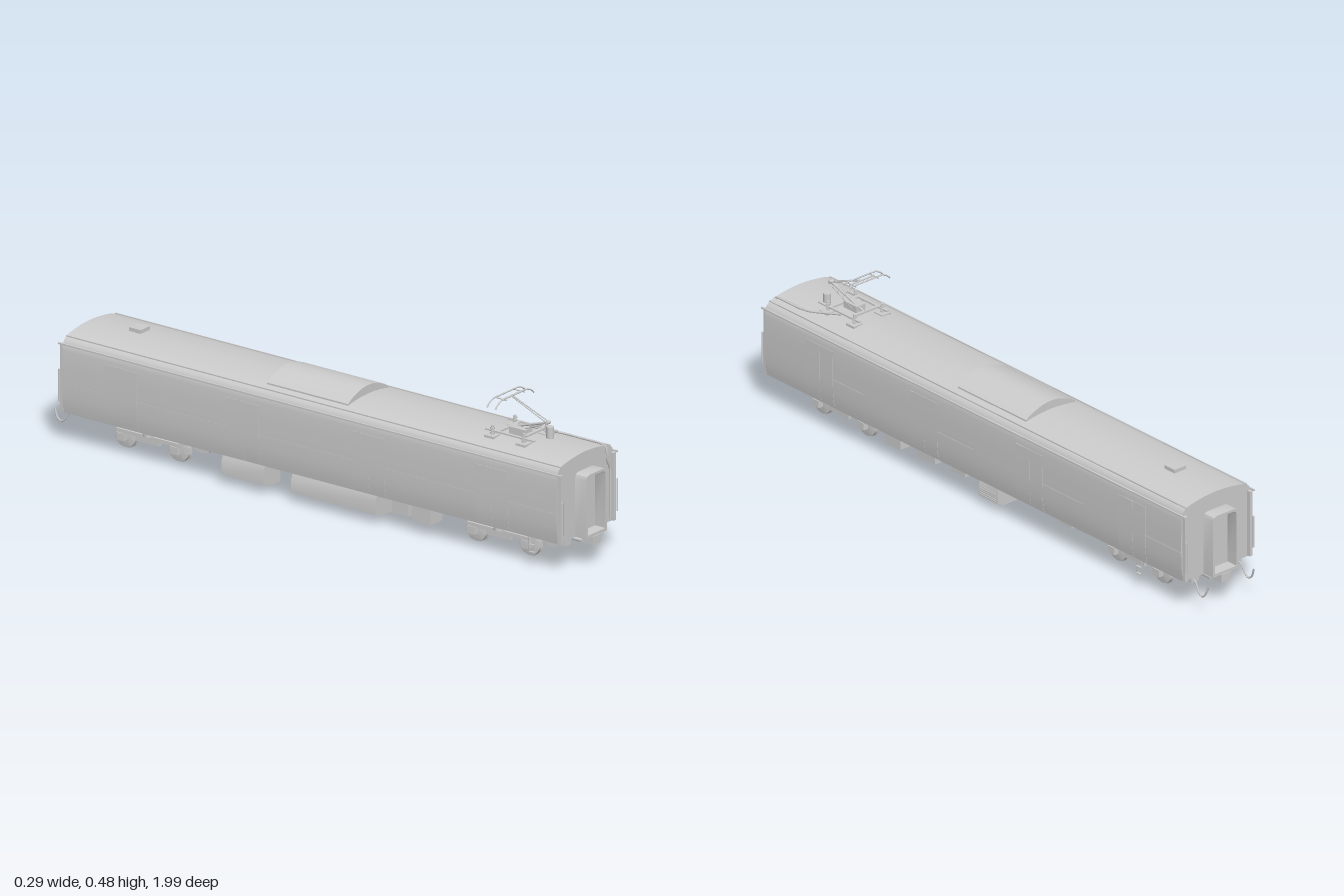
import * as THREE from 'three';
import { toCreasedNormals } from 'three/addons/utils/BufferGeometryUtils.js';

const mat = new THREE.MeshStandardMaterial({ color: 0xcccccc });
const matDouble = new THREE.MeshStandardMaterial({ color: 0xcccccc, side: THREE.DoubleSide });
const v = (p) => new THREE.Vector3(...p);

export function createModel() {
  const root = new THREE.Group();

  const add = (name, geo, parent = root, m = mat) => {
    const mesh = new THREE.Mesh(geo, m);
    mesh.name = name;
    parent.add(mesh);
    return mesh;
  };
  const group = (name) => {
    const g = new THREE.Group();
    g.name = name;
    root.add(g);
    return g;
  };
  // box given by its ranges on the three axes
  const box = (name, x0, x1, y0, y1, z0, z1, parent) => {
    const m = add(name, new THREE.BoxGeometry(x1 - x0, y1 - y0, z1 - z0), parent);
    m.position.set((x0 + x1) / 2, (y0 + y1) / 2, (z0 + z1) / 2);
    return m;
  };
  // cylinder between two points
  const rod = (name, a, b, r, parent, sides = 8) => {
    const p = v(a), d = v(b).sub(p);
    const m = add(name, new THREE.CylinderGeometry(r, r, d.length(), sides), parent);
    m.position.copy(p).addScaledVector(d, 0.5);
    m.quaternion.setFromUnitVectors(new THREE.Vector3(0, 1, 0), d.normalize());
    return m;
  };
  const tube = (name, pts, r, parent, tension = 0.5) =>
    add(name, new THREE.TubeGeometry(new THREE.CatmullRomCurve3(pts.map(v), false, 'catmullrom', tension), 32, r, 6), parent, matDouble);
  // cross-section in x and y, extruded from z0 to z1
  const section = (name, pts, z0, z1, parent, hole) => {
    const s = new THREE.Shape(pts.map((p) => new THREE.Vector2(...p)));
    if (hole) s.holes.push(new THREE.Path(hole.map((p) => new THREE.Vector2(...p))));
    const g = new THREE.ExtrudeGeometry(s, { depth: z1 - z0, bevelEnabled: false });
    const m = add(name, toCreasedNormals(g, 0.5), parent);
    m.position.z = z0;
    return m;
  };
  const mirrored = (half) => [...half, ...half.filter((p) => p[0] > 0).reverse().map(([x, y]) => [-x, y])];

  // body shell with curved roof and tucked-in sills
  const side = [[0.134, 0.097], [0.138, 0.12], [0.141, 0.15], [0.142, 0.19], [0.142, 0.25], [0.141, 0.3], [0.139, 0.318]];
  section('bodyShell', mirrored([...side, [0.133, 0.331], [0.123, 0.34], [0.105, 0.346], [0.08, 0.351],
    [0.055, 0.3545], [0.028, 0.357], [0, 0.358]]), -0.93, 0.95);

  // doors, belt seams, gutters and corner posts on both sides
  const sideX = (y) => {
    const i = Math.max(1, side.findIndex((p) => p[1] >= y));
    const [a, b] = [side[i - 1], side[i]];
    return a[0] + (b[0] - a[0]) * (y - a[1]) / (b[1] - a[1]);
  };
  const skin = (name, s, y0, y1, z0, z1, out, parent) => {
    const ys = [y0, ...side.map((p) => p[1]).filter((y) => y > y0 && y < y1), y1];
    const pts = [...ys.map((y) => [s * (sideX(y) + out), y]), ...ys.reverse().map((y) => [s * (sideX(y) - 0.003), y])];
    return section(name, pts, z0, z1, parent);
  };
  const sides = group('sideDetails');
  for (const s of [-1, 1]) {
    for (const z of [0.703, 0.233, -0.243, -0.707]) {
      skin('door', s, 0.1, 0.29, z - 0.061, z + 0.061, 0.0012, sides);
      skin('doorEdge', s, 0.1, 0.29, z - 0.003, z + 0.001, 0.0018, sides);
    }
    skin('beltSeam', s, 0.195, 0.197, -0.93, 0.95, 0.0006, sides);
    box('gutter', s * 0.1405 - 0.003, s * 0.1405 + 0.003, 0.317, 0.322, -0.945, 0.965, sides);
    box('roofRib', s * 0.122 - 0.002, s * 0.122 + 0.002, 0.338, 0.343, -0.93, 0.95, sides);
    for (const [z0, z1] of [[0.95, 0.962], [-0.942, -0.93]]) {
      box('cornerPost', s * 0.131 - 0.006, s * 0.131 + 0.006, 0.1, 0.318, z0, z1, sides);
      const z = z0 > 0 ? 0.967 : -0.947;
      rod('handrail', [s * 0.136, 0.13, z], [s * 0.136, 0.235, z], 0.003, sides);
    }
  }

  // gangway tunnels: open frame with a recessed door
  const arch = (w, y0, y1, c) => mirrored([[w, y0], [w, y1 - c], [w - c * 0.3, y1 - c * 0.3], [w - c, y1]]);
  const ends = group('gangways');
  for (const [z0, z1, d] of [[0.95, 0.993, 0.952], [-0.973, -0.93, -0.932]]) {
    section('gangwayFrame', arch(0.051, 0.098, 0.302, 0.015), z0, z1, ends, arch(0.043, 0.108, 0.294, 0.012));
    box('gangwayDoor', -0.043, 0.043, 0.108, 0.292, d - 0.002, d + 0.002, ends);
  }

  // couplers, buffer beams and jumper hoses
  const gear = group('couplers');
  for (const [s, zEnd] of [[1, 0.95], [-1, -0.93]]) {
    const span = (a, b) => [zEnd + s * a, zEnd + s * b].sort((p, q) => p - q);
    box('couplerHead', -0.02, 0.02, 0.072, 0.098, ...span(0.005, 0.045), gear);
    box('couplerBar', -0.009, 0.009, 0.078, 0.092, ...span(-0.09, 0.01), gear);
    box('couplerPocket', -0.045, 0.045, 0.07, 0.098, ...span(-0.06, -0.045), gear);
    for (const x of [-1, 1]) {
      box('bufferBracket', x * 0.085 - 0.015, x * 0.085 + 0.015, 0.08, 0.098, ...span(-0.03, 0), gear);
      rod('airCock', [x * 0.035, 0.085, zEnd - s * 0.02], [x * 0.035, 0.085, zEnd + s * 0.015], 0.006, gear);
    }
  }
  for (const x of [-0.092, 0.092]) {
    tube('jumperHose', [[x, 0.09, -0.925], [x, 0.085, -0.94], [x * 1.02, 0.06, -0.955], [x * 1.03, 0.05, -0.97],
      [x * 1.03, 0.06, -0.985], [x, 0.088, -0.997]], 0.003, gear);
  }

  // bogies
  const wheelShape = [[0.001, -0.006], [0.036, -0.006], [0.04, -0.005], [0.041, 0.004], [0.044, 0.005], [0.044, 0.007], [0.001, 0.007]]
    .map((p) => new THREE.Vector2(...p));
  const wheelGeo = toCreasedNormals(new THREE.LatheGeometry(wheelShape, 28), 0.5);
  const makeBogie = (zc) => {
    const b = group('bogie');
    b.position.z = zc;
    for (const dz of [-0.101, 0.101]) {
      rod('axle', [-0.085, 0.046, dz], [0.085, 0.046, dz], 0.007, b, 12);
      for (const s of [-1, 1]) {
        const w = add('wheel', wheelGeo, b, matDouble);
        w.rotation.z = s * Math.PI / 2;
        w.position.set(s * 0.055, 0.0445, dz);
        box('axleBox', s * 0.077 - 0.009, s * 0.077 + 0.009, 0.034, 0.058, dz - 0.014, dz + 0.014, b);
        for (const k of [-0.012, 0.012]) rod('axleSpring', [s * 0.077, 0.055, dz + k], [s * 0.077, 0.07, dz + k], 0.005, b);
      }
    }
    for (const s of [-1, 1]) {
      box('sideFrame', s * 0.077 - 0.006, s * 0.077 + 0.006, 0.058, 0.07, -0.118, 0.118, b);
      box('sideFrameDrop', s * 0.077 - 0.006, s * 0.077 + 0.006, 0.045, 0.06, -0.045, 0.045, b);
      rod('airSpring', [s * 0.077, 0.068, 0], [s * 0.077, 0.1, 0], 0.017, b, 16);
      rod('motor', [s * 0.035, 0.047, s * 0.055], [-s * 0.035, 0.047, s * 0.055], 0.015, b, 14);
    }
    box('bolster', -0.08, 0.08, 0.055, 0.075, -0.022, 0.022, b);
    rod('centrePivot', [0, 0.07, 0], [0, 0.1, 0], 0.018, b, 14);
  };
  makeBogie(0.682);
  makeBogie(-0.652);

  // underfloor equipment: x, y and z ranges
  const under = group('underfloorEquipment');
  const crates = [
    [0.02, 0.095, 0.037, 0.09, 0.39, 0.457], [-0.115, -0.055, 0.04, 0.09, 0.38, 0.45],
    [0.005, 0.08, 0.035, 0.09, 0.25, 0.33], [-0.11, -0.06, 0.045, 0.09, 0.3, 0.36],
    [0.04, 0.085, 0.045, 0.09, 0.11, 0.17], [0.02, 0.06, 0.055, 0.1, 0.04, 0.08],
    [0.01, 0.07, 0.04, 0.09, -0.355, -0.3], [-0.02, 0.02, 0.06, 0.1, -0.12, -0.08],
  ];
  for (const c of crates) box('equipmentBox', ...c, under);
  const chamfered = (x0, x1, s) => [[x0, 0.1], [x0, 0.021], [x1 - s * 0.026, 0.021], [x1, 0.033], [x1, 0.075], [x1 - s * 0.01, 0.1]];
  section('mainConverter', chamfered(0, -0.128, -1).reverse(), -0.07, 0.25, under);
  section('auxiliaryConverter', chamfered(-0.045, -0.128, -1).reverse(), -0.335, -0.175, under);
  section('louvredBox', chamfered(0.03, 0.115, 1), -0.07, 0.012, under);
  for (let i = 0; i < 5; i++) box('louvre', 0.112, 0.117, 0.037 + i * 0.007, 0.04 + i * 0.007, -0.065, 0.007, under);
  rod('airTank', [0.035, 0.068, -0.115], [0.035, 0.068, -0.22], 0.022, under, 20);
  for (const z of [-0.135, -0.2]) box('tankStrap', 0.012, 0.058, 0.066, 0.1, z - 0.004, z + 0.004, under);
  for (const [x, z] of [[0.07, 0.505], [0.07, 0.06], [0.07, -0.4], [0.07, -0.475], [-0.07, -0.42]]) {
    rod('smallReservoir', [x - 0.02, 0.08, z], [x + 0.02, 0.08, z], 0.012, under, 14);
  }
  // steps hanging below the sills
  for (const [x, z] of [[-0.133, 0.85], [0.133, -0.73]]) {
    for (const k of [-0.011, 0.011]) rod('stepHanger', [x, 0.1, z + k], [x, 0.048, z + k], 0.0016, under, 6);
    for (const y of [0.05, 0.073]) box('stepTread', x - 0.003, x + 0.003, y - 0.0015, y + 0.0015, z - 0.011, z + 0.011, under);
  }

  // roof air conditioner
  section('airConditioner', mirrored([[0.1, 0.342], [0.1, 0.352], [0.082, 0.364], [0.06, 0.373], [0.035, 0.381], [0.015, 0.3845], [0, 0.385]]),
    -0.183, 0.125);
  // roof ventilator
  const vent = group('roofVentilator');
  rod('ventStem', [0, 0.35, -0.745], [0, 0.37, -0.745], 0.012, vent, 12);
  box('ventCap', -0.023, 0.023, 0.364, 0.376, -0.767, -0.723, vent);

  // pantograph
  const pan = group('pantograph');
  for (const s of [-1, 1]) {
    for (const z of [0.64, 0.76]) {
      box('insulatorFoot', s * 0.057 - 0.018, s * 0.057 + 0.018, 0.348, 0.359, z - 0.018, z + 0.018, pan);
      for (const y of [0.364, 0.372, 0.38]) rod('insulatorDisc', [s * 0.056, y - 0.002, z], [s * 0.056, y + 0.002, z], 0.007, pan, 12);
      rod('insulator', [s * 0.056, 0.355, z], [s * 0.056, 0.388, z], 0.0045, pan);
    }
    box('baseRail', s * 0.056 - 0.004, s * 0.056 + 0.004, 0.369, 0.374, 0.615, 0.8, pan);
    rod('controlRod', [s * 0.012, 0.372, 0.7], [s * 0.008, 0.412, 0.8], 0.0018, pan, 6);
    rod('upperArm', [s * 0.006, 0.418, 0.808], [s * 0.003, 0.472, 0.675], 0.002, pan, 6);
    tube('contactStrip', [0.665 + s * 0.016].flatMap((z) => [[-0.095, 0.459, z], [-0.083, 0.47, z], [-0.068, 0.477, z], [-0.055, 0.479, z],
      [0.055, 0.479, z], [0.068, 0.477, z], [0.083, 0.47, z], [0.095, 0.459, z]]), 0.0024, pan, 0.3);
    rod('headLink', [s * 0.045, 0.475, 0.645], [s * 0.045, 0.475, 0.685], 0.002, pan, 6);
  }
  for (const z of [0.66, 0.75]) box('baseCrossbar', -0.06, 0.06, 0.368, 0.374, z - 0.005, z + 0.005, pan);
  rod('headBar', [-0.05, 0.474, 0.67], [0.05, 0.474, 0.67], 0.0025, pan, 6);
  rod('lowerArm', [0, 0.372, 0.66], [0, 0.418, 0.808], 0.004, pan);
  rod('kneeJoint', [-0.008, 0.418, 0.808], [0.008, 0.418, 0.808], 0.006, pan, 10);
  box('springHousing', -0.025, 0.012, 0.362, 0.384, 0.68, 0.74, pan);
  rod('arrester', [0.028, 0.355, 0.795], [0.028, 0.394, 0.795], 0.012, pan, 16);
  // power cable across the roof and down the front end
  tube('powerCable', [[0.055, 0.366, 0.7], [0.07, 0.36, 0.74], [0.095, 0.353, 0.8], [0.1, 0.35, 0.85], [0.1, 0.35, 0.935],
    [0.1, 0.34, 0.954], [0.102, 0.3, 0.955], [0.116, 0.272, 0.955], [0.117, 0.24, 0.955], [0.117, 0.11, 0.955]], 0.004, pan, 0.3);

  return root;
}
